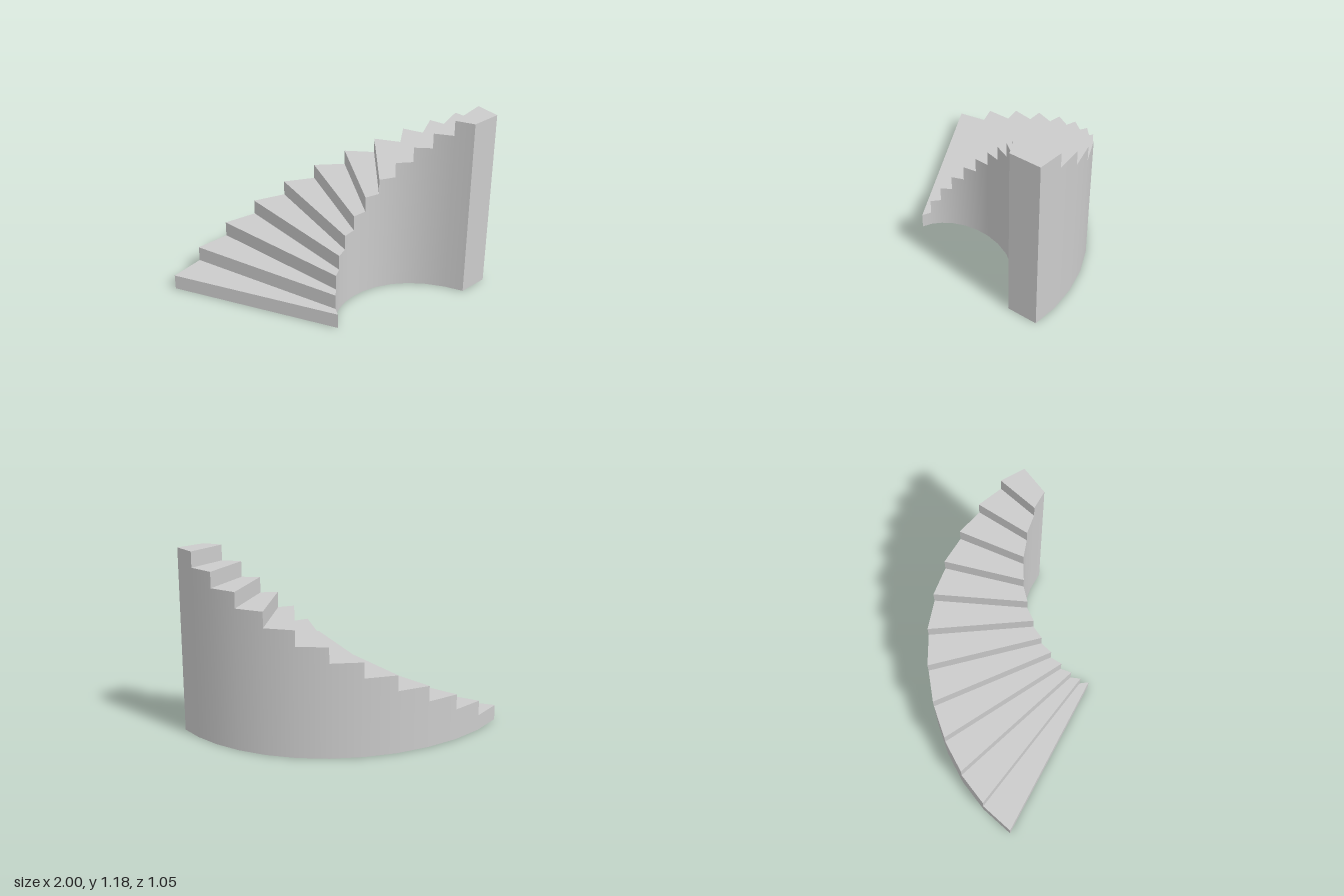
import * as THREE from 'three';

const RISE = 0.0987;
// Plan positions [x, z] of each riser's two ends, from bottom step to top.
const outer = [[-1, -0.09], [-0.828, -0.25], [-0.635, -0.373], [-0.43, -0.46], [-0.218, -0.513],
  [-0.008, -0.528], [0.198, -0.508], [0.388, -0.453], [0.56, -0.367], [0.708, -0.257],
  [0.832, -0.127], [0.93, 0.017], [1, 0.167]];
const inner = [[-0.042, 0.525], [-0.045, 0.463], [-0.03, 0.397], [0.002, 0.33], [0.051, 0.265],
  [0.117, 0.207], [0.198, 0.16], [0.29, 0.128], [0.394, 0.113], [0.503, 0.12],
  [0.614, 0.15], [0.727, 0.203], [0.83, 0.273]];
const STEPS = outer.length - 1;

const at = ([x, z], y) => new THREE.Vector3(x, y, z);

// Smooth horizontal normals along a wall path; side is 1 for the outer wall, -1 for the inner.
function wallNormals(path, side) {
  return path.map((p, i) => {
    const a = path[Math.max(i - 1, 0)], b = path[Math.min(i + 1, path.length - 1)];
    return new THREE.Vector3((b[1] - a[1]) * side, 0, (a[0] - b[0]) * side).normalize();
  });
}

// One mesh from quads of four corners; each may carry four normals, else it is flat.
function quadMesh(name, quads, material) {
  const pos = [], nor = [];
  for (const { corners, normals } of quads) {
    const [a, b, c] = corners;
    const flat = b.clone().sub(a).cross(c.clone().sub(a)).normalize();
    for (const k of [0, 1, 2, 0, 2, 3]) {
      pos.push(...corners[k].toArray());
      nor.push(...(normals ? normals[k] : flat).toArray());
    }
  }
  const geometry = new THREE.BufferGeometry();
  geometry.setAttribute('position', new THREE.Float32BufferAttribute(pos, 3));
  geometry.setAttribute('normal', new THREE.Float32BufferAttribute(nor, 3));
  const mesh = new THREE.Mesh(geometry, material);
  mesh.name = name;
  return mesh;
}

export function createModel() {
  const material = new THREE.MeshStandardMaterial({ color: 0xcccccc });
  const outN = wallNormals(outer, 1), inN = wallNormals(inner, -1);
  const treads = [], risers = [], outerWall = [], innerWall = [], underside = [];

  for (let i = 0; i < STEPS; i++) {
    const j = i + 1, low = i * RISE, top = j * RISE;
    const [o0, o1, i0, i1] = [outer[i], outer[j], inner[i], inner[j]];
    treads.push({ corners: [at(i0, top), at(i1, top), at(o1, top), at(o0, top)] });
    risers.push({ corners: [at(o0, low), at(i0, low), at(i0, top), at(o0, top)] });
    underside.push({ corners: [at(o0, 0), at(o1, 0), at(i1, 0), at(i0, 0)] });
    // Stepped-top curved walls running down to the ground
    outerWall.push({
      corners: [at(o1, 0), at(o0, 0), at(o0, top), at(o1, top)],
      normals: [outN[j], outN[i], outN[i], outN[j]],
    });
    innerWall.push({
      corners: [at(i0, 0), at(i1, 0), at(i1, top), at(i0, top)],
      normals: [inN[i], inN[j], inN[j], inN[i]],
    });
  }

  // Tall flat face behind the top step
  const height = STEPS * RISE, o = outer[STEPS], n = inner[STEPS];
  const endWall = [{ corners: [at(n, 0), at(o, 0), at(o, height), at(n, height)] }];

  const group = new THREE.Group();
  group.name = 'curvedStaircase';
  const parts = { treads, risers, outerWall, innerWall, endWall, underside };
  for (const [name, quads] of Object.entries(parts)) group.add(quadMesh(name, quads, material));
  return group;
}
